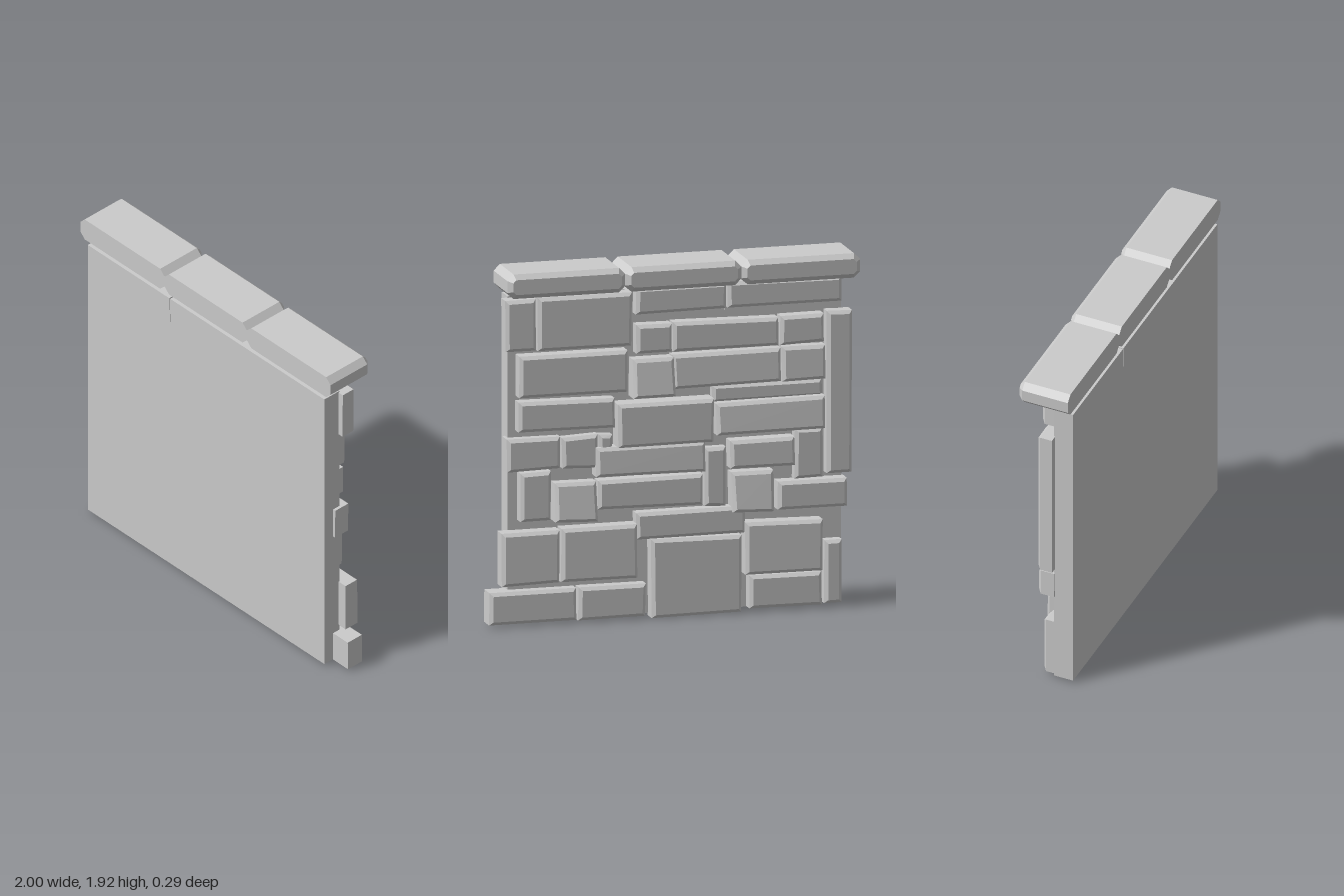
import * as THREE from 'three';
import { ConvexGeometry } from 'three/addons/geometries/ConvexGeometry.js';

const material = new THREE.MeshStandardMaterial({ color: 0xcccccc, side: THREE.DoubleSide });

function addMesh(parent, geometry, name) {
  const mesh = new THREE.Mesh(geometry, material);
  mesh.name = name;
  parent.add(mesh);
}

function addGroup(parent, name) {
  const group = new THREE.Group();
  group.name = name;
  parent.add(group);
  return group;
}

// Small seeded unevenness for the hewn stones
function makeJitter(seed) {
  return (amount) => {
    seed = (seed * 16807) % 2147483647;
    return (seed / 2147483647 - 0.5) * 2 * amount;
  };
}

// Block bevelled towards the back; tilt pushes the lower edge of its face further out
function stoneGeometry(x0, x1, y0, y1, face, tilt, root, jitter) {
  const bevel = 0.018, points = [];
  for (const sx of [-1, 1]) {
    for (const sy of [-1, 1]) {
      const x = (sx < 0 ? x0 : x1) - sx * 0.004 + jitter(0.003);
      const y = (sy < 0 ? y0 : y1) - sy * 0.004 + jitter(0.005);
      const z = face - (sy < 0 ? tilt : 0);
      points.push(
        new THREE.Vector3(x, y, root),
        new THREE.Vector3(x, y, z + bevel),
        new THREE.Vector3(x - sx * bevel, y - sy * bevel, z)
      );
    }
  }
  return new ConvexGeometry(points);
}

// Coping block: octagonal ends, front left flat, back edges bevelled
function copingGeometry(x0, x1) {
  const points = [];
  for (const [z, inset, chamfer] of [[0.145, 0, 0.034], [-0.118, 0, 0.034], [-0.145, 0.026, 0.016]]) {
    const w = (x1 - x0) / 2 - inset, h = 0.066 - inset;
    for (const sx of [-1, 1]) {
      for (const sy of [-1, 1]) {
        const x = (x0 + x1) / 2, y = 1.856;
        points.push(
          new THREE.Vector3(x + sx * (w - chamfer), y + sy * h, z),
          new THREE.Vector3(x + sx * w, y + sy * (h - chamfer), z)
        );
      }
    }
  }
  return new ConvexGeometry(points);
}

export function createModel() {
  const group = new THREE.Group();

  // Flat front slab with a fine crack in its upper edge
  const outline = new THREE.Shape();
  outline.moveTo(-0.94, 0.02).lineTo(0.88, 0.02).lineTo(0.88, 1.77).lineTo(-0.306, 1.77);
  outline.lineTo(-0.305, 1.61).lineTo(-0.313, 1.77).lineTo(-0.94, 1.77);
  const slab = new THREE.ExtrudeGeometry(outline, { depth: 0.11, bevelEnabled: false });
  slab.translate(0, 0, 0.038);
  addMesh(group, slab, 'frontSlab');

  // Coping along the top
  const coping = addGroup(group, 'coping');
  const ends = [-1, -0.352, 0.282, 0.925];
  for (let i = 0; i < 3; i++) addMesh(coping, copingGeometry(ends[i], ends[i + 1]), 'copingBlock');

  // Stonework on the back: each course is a row of stones between joints
  const wall = addGroup(group, 'backStonework');
  const jitter = makeJitter(7);
  const course = (y0, y1, face, joints, tilt = 0, root = 0.045) => {
    for (let i = 1; i < joints.length; i++) {
      const depth = face + jitter(0.006);
      addMesh(wall, stoneGeometry(joints[i - 1], joints[i], y0, y1, depth, tilt, root, jitter), 'stone');
    }
  };

  // Upper courses
  course(1.48, 1.77, -0.05, [0.22, 0.74, 0.915]);
  course(1.64, 1.79, -0.042, [-0.93, -0.3, 0.2]);
  course(1.43, 1.59, -0.045, [-0.83, -0.585, 0, 0.2]);
  course(1.23, 1.46, -0.05, [0.24, 0.84]);
  course(1.23, 1.42, -0.04, [-0.84, -0.595, 0], 0.01);

  // Middle courses
  course(1.04, 1.21, -0.045, [0.31, 0.84]);
  course(0.94, 1.18, -0.085, [-0.22, 0.31]);
  course(0.97, 1.15, -0.065, [-0.83, -0.23], 0.015);
  course(1.13, 1.23, -0.01, [-0.83, -0.22]);
  course(0.83, 1.01, -0.03, [0.32, 0.4, 0.6, 0.9], 0, 0.085);
  course(0.78, 0.94, -0.052, [-0.67, -0.31], 0.005);
  course(0.78, 0.94, -0.055, [-0.18, 0.42], 0.01);
  course(0.6, 0.77, -0.045, [-0.17, 0.41]);

  // Lower courses
  course(0.54, 0.7, -0.05, [-0.955, -0.57]);
  course(0.43, 0.58, -0.035, [-0.4, 0.2]);
  course(0.225, 0.52, -0.055, [0.19, 0.615, 0.94], 0.005);
  course(0.21, 0.49, -0.06, [-0.82, -0.39], 0.01);
  course(0.005, 0.43, -0.05, [-0.38, 0.12]);
  course(0.015, 0.2, -0.035, [0.14, 0.515, 1], 0, 0.085);
  course(0.02, 0.2, -0.04, [-0.82, -0.42]);

  // Upright stones standing across the courses
  course(0.72, 1.6, -0.045, [-0.985, -0.84]);
  course(0.7, 0.97, -0.03, [-0.83, -0.67]);
  course(0.58, 0.9, -0.03, [-0.3, -0.18]);
  course(0.56, 0.83, -0.04, [0.66, 0.83]);
  course(0.02, 0.37, -0.03, [-0.935, -0.83]);

  // Square stones leaning out at the foot
  for (const [x, y] of [[0.105, 1.3], [0.53, 0.66], [-0.435, 0.655]]) {
    course(y - 0.11, y + 0.11, -0.05, [x - 0.118, x + 0.118], 0.03);
  }
  return group;
}
